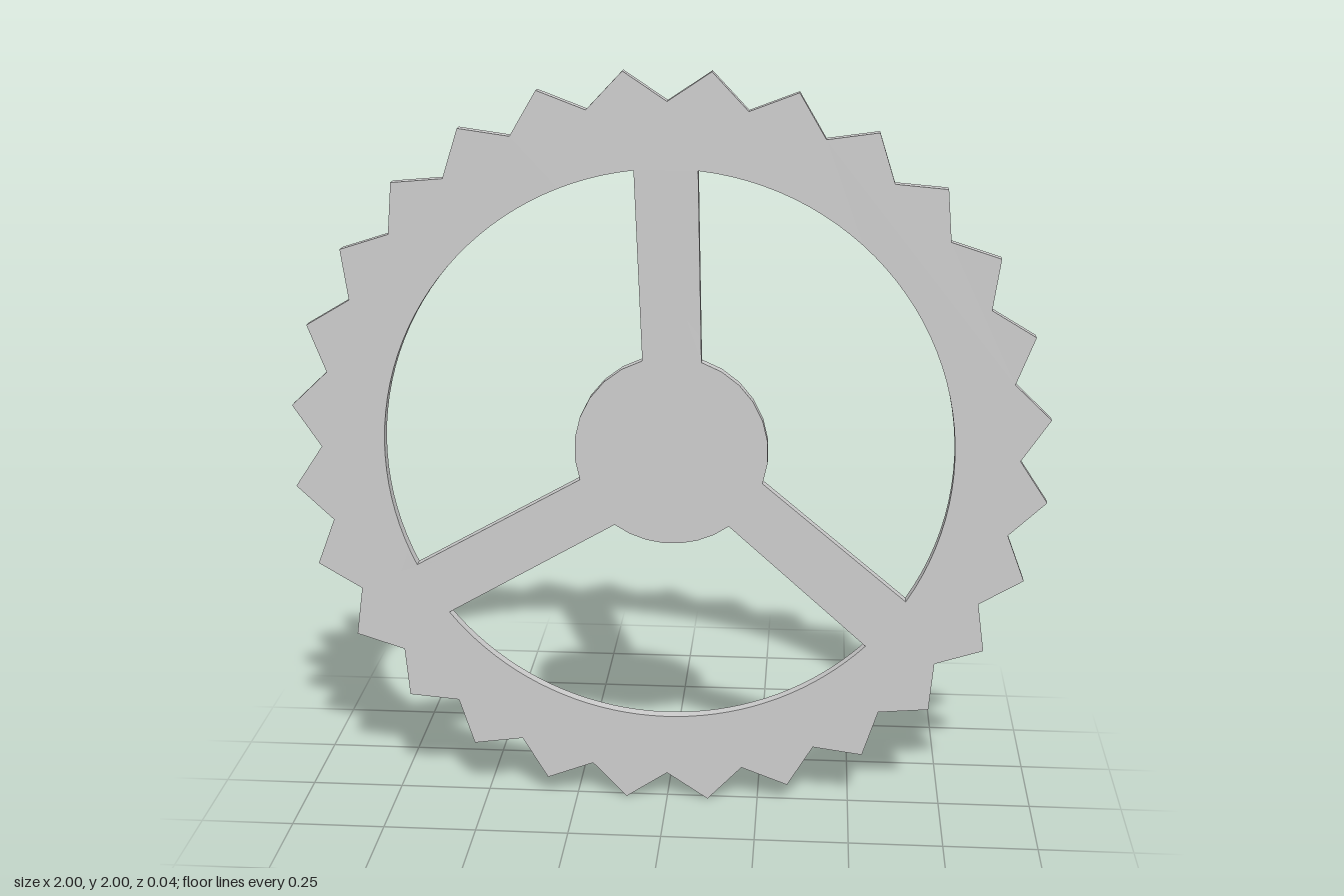
import * as THREE from 'three';
import { toCreasedNormals } from 'three/addons/utils/BufferGeometryUtils.js';

const TEETH = 28, TIP = 1.0063, ROOT = 0.925;
const RIM = 0.755, HUB = 0.257, HUB_X = 0.01, HUB_Y = 0.005;
const BACK = -0.014, THICKNESS = 0.032, HUB_SHIFT = -0.004;

// Points along an arc, angles in degrees
function arc(cx, cy, r, from, to, steps) {
  const points = [];
  for (let i = 0; i <= steps; i++) {
    const a = THREE.MathUtils.degToRad(from + (to - from) * i / steps);
    points.push(new THREE.Vector2(cx + r * Math.cos(a), cy + r * Math.sin(a)));
  }
  return points;
}

// Opening between two spokes: rim arc out, hub arc back
function opening(rimFrom, rimTo, hubFrom, hubTo) {
  return new THREE.Path([
    ...arc(0, 0, RIM, rimFrom, rimTo, 36),
    ...arc(HUB_X, HUB_Y, HUB, hubTo, hubFrom, 7),
  ]);
}

export function createModel() {
  const group = new THREE.Group();
  group.name = 'spokedGear';

  // Toothed outline, alternating roots and tips
  const outline = [];
  for (let i = 0; i < TEETH * 2; i++) {
    const a = i * Math.PI / TEETH;
    const r = i % 2 ? TIP : ROOT;
    outline.push(new THREE.Vector2(r * Math.cos(a), r * Math.sin(a)));
  }
  const shape = new THREE.Shape(outline);

  // Three openings leave the hub and three slightly uneven spokes
  shape.holes.push(
    opening(96.5, 205.9, 107, 199),
    opening(218, 315.3, 234, 307),
    opening(-32, 84, -19, 72),
  );

  let geometry = new THREE.ExtrudeGeometry(shape, { depth: THICKNESS, bevelEnabled: false });

  // The hub sits slightly behind the rim, so the spokes lean back a little
  const pos = geometry.attributes.position;
  for (let i = 0; i < pos.count; i++) {
    const inHub = Math.hypot(pos.getX(i), pos.getY(i)) < 0.4;
    pos.setZ(i, pos.getZ(i) + BACK + (inHub ? HUB_SHIFT : 0));
  }
  geometry = toCreasedNormals(geometry, Math.PI / 7);

  const gear = new THREE.Mesh(geometry, new THREE.MeshStandardMaterial({ color: 0xcccccc }));
  gear.name = 'gearWheel';
  gear.position.y = 1;
  group.add(gear);
  return group;
}
